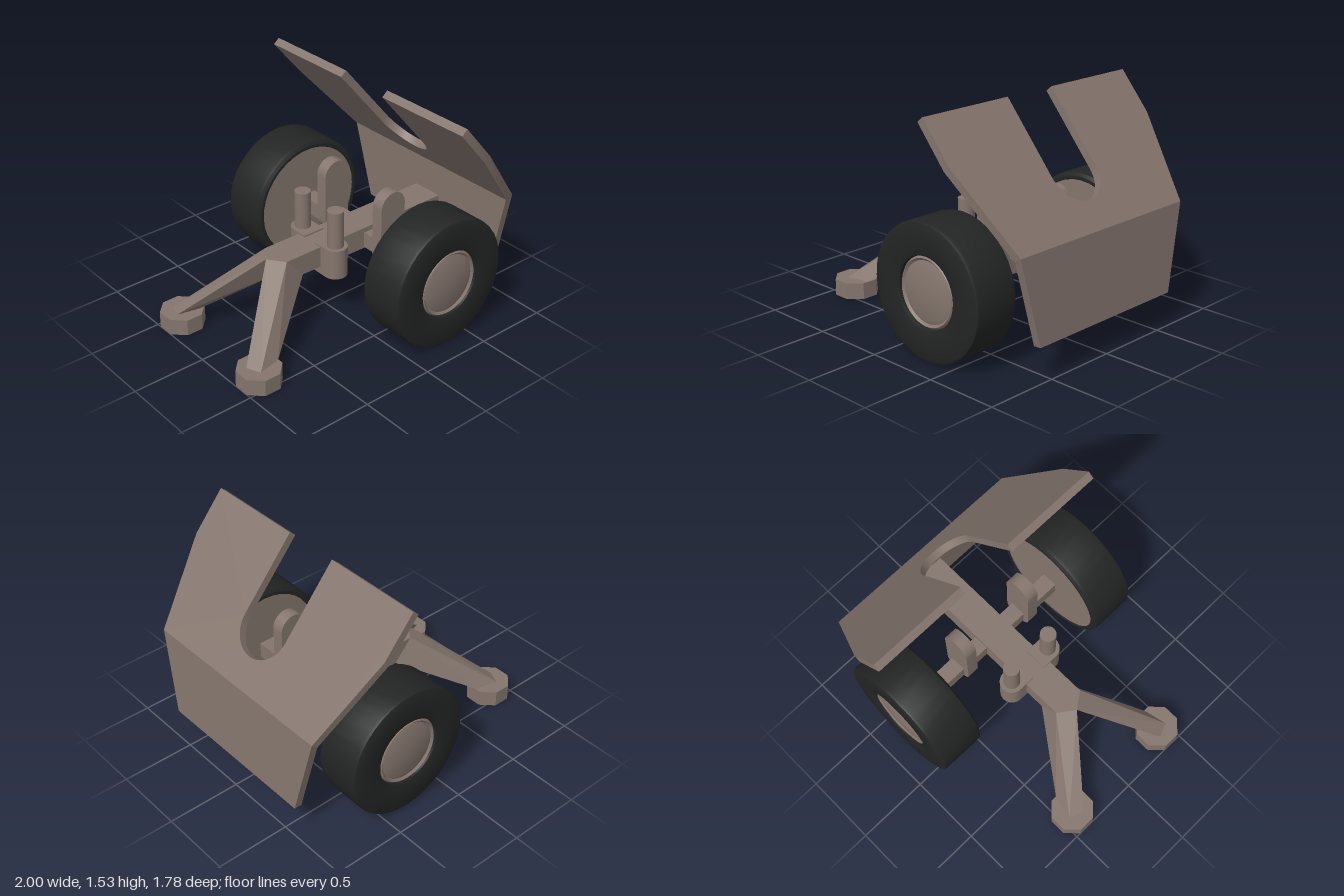
import * as THREE from 'three';
import { toCreasedNormals } from 'three/addons/utils/BufferGeometryUtils.js';
import { ConvexGeometry } from 'three/addons/geometries/ConvexGeometry.js';

export function createModel() {
  const model = new THREE.Group();
  const paint = new THREE.MeshStandardMaterial({ color: 0x85766e });
  paint.name = 'brown paint';
  const rubber = new THREE.MeshStandardMaterial({ color: 0x232424 });
  rubber.name = 'black rubber';

  const add = (name, geometry, material = paint) => {
    const mesh = new THREE.Mesh(geometry, material);
    mesh.name = name;
    model.add(mesh);
    return mesh;
  };
  const hull = (points) => new ConvexGeometry(points.map((p) => new THREE.Vector3(...p)));
  const polygon = (points) => new THREE.Shape(points.map((p) => new THREE.Vector2(...p)));
  const extrude = (shape, depth) => toCreasedNormals(
    new THREE.ExtrudeGeometry(shape, { depth, bevelEnabled: false, curveSegments: 12 }), 0.6);
  const lathe = (points) => toCreasedNormals(
    new THREE.LatheGeometry(points.map((p) => new THREE.Vector2(...p)), 36), 0.5);

  // Shield plates: drawn across z and up the slope, thickened towards the back
  const plate = (name, shape, x0, y0, x1, y1, thickness) => {
    const up = new THREE.Vector3(x1 - x0, y1 - y0, 0).normalize();
    const across = new THREE.Vector3(0, 0, 1);
    const basis = new THREE.Matrix4().makeBasis(across, up, across.clone().cross(up));
    const geometry = extrude(shape, thickness);
    geometry.applyMatrix4(basis.setPosition(x0, y0, 0));
    add(name, geometry);
  };
  plate('lowerShield', polygon([[-0.6, 0], [0.6, 0], [0.735, 0.571], [-0.735, 0.571]]),
    1, 0.23, 0.965, 0.8, 0.052);
  const upper = new THREE.Shape();
  upper.moveTo(-0.735, 0);
  upper.lineTo(0.735, 0);
  upper.lineTo(0.89, 0.63);
  upper.lineTo(0.89, 0.958);
  upper.lineTo(0.195, 0.958);
  upper.lineTo(0.195, 0.392);
  upper.absarc(0, 0.392, 0.195, 0, Math.PI, true);
  upper.lineTo(-0.195, 0.958);
  upper.lineTo(-0.89, 0.958);
  upper.lineTo(-0.89, 0.63);
  plate('upperShield', upper, 0.965, 0.8, 0.345, 1.53, 0.054);

  // Central beam with a pointed rear end
  add('beam', hull([
    [-0.48, 0.535, 0], [-0.35, 0.39, 0],
    ...[-0.11, 0.11].flatMap((z) => [
      [-0.4, 0.535, z], [-0.27, 0.39, z], [0.94, 0.535, z], [0.94, 0.37, z],
    ]),
  ]));

  // Axle
  add('axle', new THREE.BoxGeometry(0.11, 0.11, 1.1)).position.set(0.305, 0.445, 0);

  for (const s of [1, -1]) {
    // Wheel: tyre and hub turned around the axle line
    const tyre = add('tyre', lathe([
      [0.39, 0.54], [0.4, 0.53], [0.42, 0.53], [0.44, 0.545], [0.445, 0.565], [0.445, 0.835],
      [0.44, 0.852], [0.425, 0.86], [0.25, 0.86], [0.232, 0.852], [0.225, 0.82],
    ]), rubber);
    const hub = add('hub', lathe([
      [0, 0.535], [0.4, 0.535], [0.4, 0.6], [0.23, 0.6], [0.23, 0.83], [0.215, 0.848],
      [0.2, 0.835], [0.17, 0.845], [0, 0.855],
    ]));
    for (const part of [tyre, hub]) {
      part.position.set(0.308, 0.445, 0);
      part.rotation.x = s * Math.PI / 2;
    }

    // Spread trail leg and its octagonal foot
    add('trailLeg', hull([
      [-0.48, 0.535, 0], [-0.4, 0.535, s * 0.11], [-0.27, 0.39, s * 0.11], [-0.35, 0.39, 0],
      [-0.93, 0.115, s * 0.37], [-0.89, 0.115, s * 0.465],
      [-0.73, 0.115, s * 0.43], [-0.77, 0.115, s * 0.335],
    ]));
    const foot = add('foot', new THREE.CylinderGeometry(0.149, 0.149, 0.113, 8).toNonIndexed());
    foot.geometry.computeVertexNormals();
    foot.position.set(-0.8625, 0.0575, s * 0.41);
    foot.rotation.y = Math.PI / 8;

    // Upright post in a rounded socket at the side of the beam
    const socketShape = new THREE.Shape();
    socketShape.moveTo(0.08, -0.115);
    socketShape.lineTo(0.08, 0);
    socketShape.absarc(0, 0, 0.08, 0, Math.PI, false);
    socketShape.lineTo(-0.08, -0.115);
    const socket = add('postSocket', extrude(socketShape, 0.21));
    socket.rotation.x = s * Math.PI / 2;
    socket.position.set(-0.045, s > 0 ? 0.545 : 0.335, s * 0.165);
    add('post', new THREE.CylinderGeometry(0.054, 0.054, 0.3, 24))
      .position.set(-0.045, 0.655, s * 0.165);

    // Tall rounded lug standing on the axle
    const lugShape = new THREE.Shape();
    lugShape.absarc(0, 0.77, 0.1, 0, Math.PI, false);
    lugShape.absarc(0, 0.445, 0.1, Math.PI, 2 * Math.PI, false);
    add('lug', extrude(lugShape, 0.085)).position.set(0.308, 0, s * 0.2775 - 0.0425);
  }
  return model;
}
